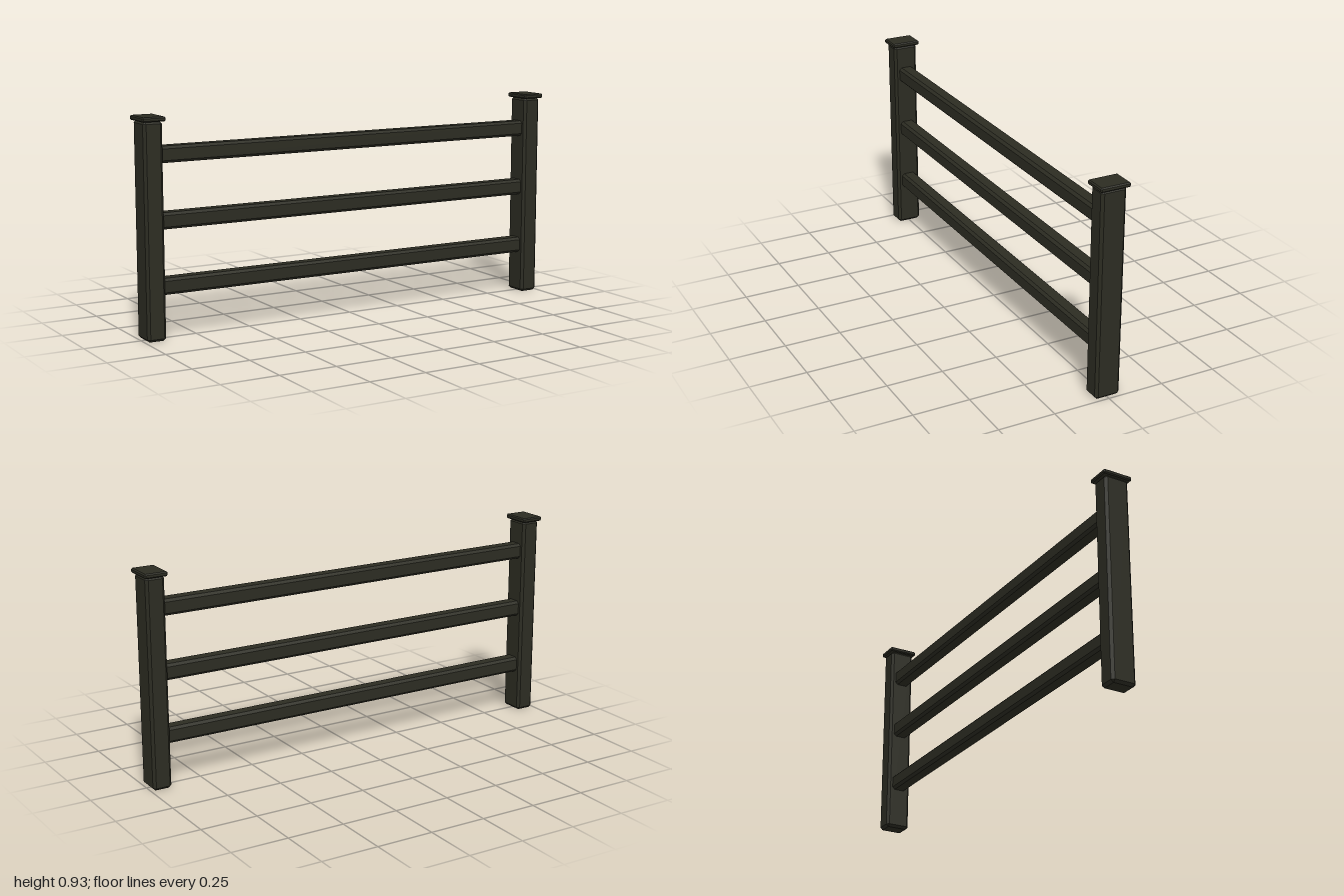
import * as THREE from 'three';
import { ConvexGeometry } from 'three/addons/geometries/ConvexGeometry.js';

const paint = new THREE.MeshStandardMaterial({ color: 0x2c2c22 });
paint.name = 'darkOlivePaint';

// Box with a flat chamfer of size c along every edge
function chamferedBox(w, h, d, c) {
  const half = [w / 2, h / 2, d / 2];
  const points = [];
  for (const sx of [-1, 1]) for (const sy of [-1, 1]) for (const sz of [-1, 1]) {
    const sign = [sx, sy, sz];
    // Each corner becomes three points, one on each adjoining face
    for (let face = 0; face < 3; face++) {
      const p = half.map((v, i) => sign[i] * (i === face ? v : v - c));
      points.push(new THREE.Vector3(...p));
    }
  }
  return new ConvexGeometry(points);
}

function addPart(parent, name, geometry, x, y) {
  const mesh = new THREE.Mesh(geometry, paint);
  mesh.name = name;
  mesh.position.set(x, y, 0);
  parent.add(mesh);
}

export function createModel() {
  const fence = new THREE.Group();
  fence.name = 'railFence';

  // Posts with their flat caps
  const postGeometry = chamferedBox(0.084, 0.914, 0.112, 0.011);
  const capGeometry = chamferedBox(0.102, 0.02, 0.134, 0.005);
  for (const [side, s] of [['left', 1], ['right', -1]]) {
    addPart(fence, side + 'Post', postGeometry, s * 0.949, 0.457);
    addPart(fence, side + 'PostCap', capGeometry, s * 0.949, 0.922);
  }

  // Three horizontal rails, their ends set into the posts
  const railGeometry = chamferedBox(1.85, 0.07, 0.068, 0.011);
  ['lower', 'middle', 'upper'].forEach((level, i) => {
    addPart(fence, level + 'Rail', railGeometry, 0, 0.222 + i * 0.275);
  });

  return fence;
}
